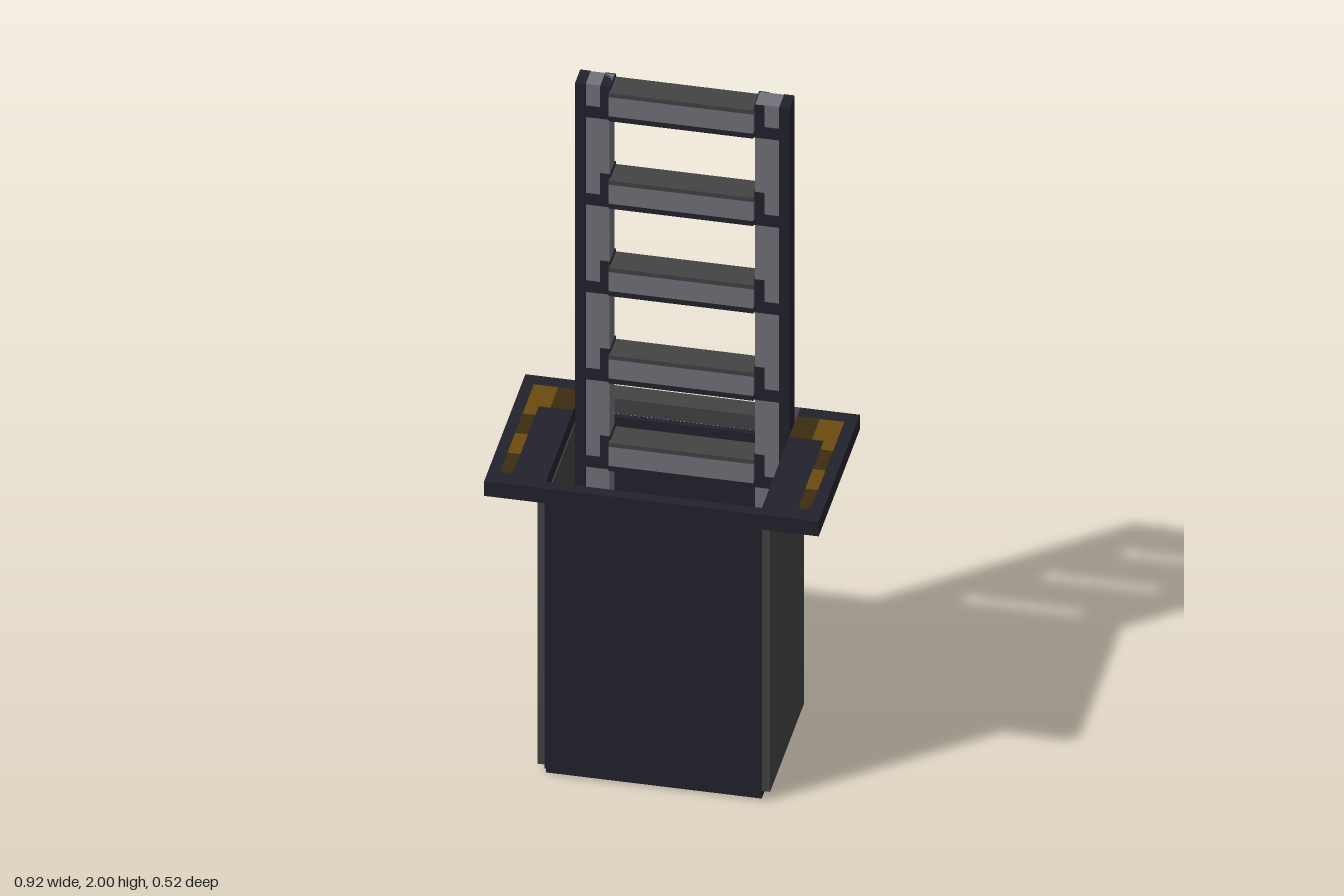
import * as THREE from 'three';

function flat(name, color) {
  const m = new THREE.MeshStandardMaterial({ color });
  m.name = name;
  return m;
}

export function createModel() {
  const navy = flat('dark navy', 0x22222d);
  const grey = flat('dark grey', 0x434345);
  const steel = flat('light steel', 0x72727a);
  const gold = flat('gold', 0x6b4a0d);
  const brown = flat('brown', 0x3b2d11);

  const model = new THREE.Group();
  model.name = 'ladderShaft';

  // Box given by its lower and upper limits on each axis
  function box(parent, name, mat, x0, x1, y0, y1, z0, z1) {
    const mesh = new THREE.Mesh(new THREE.BoxGeometry(x1 - x0, y1 - y0, z1 - z0), mat);
    mesh.position.set((x0 + x1) / 2, (y0 + y1) / 2, (z0 + z1) / 2);
    mesh.name = name;
    parent.add(mesh);
    return mesh;
  }
  // Same box on both sides of x = 0
  function pair(parent, name, mat, x0, x1, ...rest) {
    box(parent, name + 'Left', mat, x0, x1, ...rest);
    box(parent, name + 'Right', mat, -x1, -x0, ...rest);
  }

  // Shaft: floor and four walls with notched corners
  const shaft = new THREE.Group();
  shaft.name = 'shaft';
  model.add(shaft);
  box(shaft, 'floor', navy, -0.297, 0.297, 0, 0.025, -0.197, 0.232);
  box(shaft, 'frontWall', navy, -0.297, 0.297, 0.025, 0.885, 0.232, 0.25);
  box(shaft, 'backWall', navy, -0.297, 0.297, 0.025, 0.885, -0.213, -0.197);
  pair(shaft, 'sideWall', grey, 0.297, 0.32, 0.025, 0.885, -0.197, 0.232);

  // Collar around the opening
  const collar = new THREE.Group();
  collar.name = 'collar';
  model.add(collar);
  pair(collar, 'collarSide', navy, 0.297, 0.46, 0.895, 0.943, -0.262, 0.262);
  box(collar, 'collarFront', navy, -0.297, 0.297, 0.895, 0.943, 0.23, 0.262);
  box(collar, 'collarBack', grey, -0.297, 0.297, 0.895, 0.943, -0.262, -0.199);

  // Worn hazard stripes on the top and underside: x0, x1, z0, z1
  const stripes = [
    [gold, 0.36, 0.427, -0.217, -0.118],
    [brown, 0.297, 0.36, -0.217, -0.118],
    [gold, 0.392, 0.427, -0.118, -0.074],
    [brown, 0.392, 0.427, -0.074, 0.021],
    [gold, 0.392, 0.427, 0.021, 0.118],
    [brown, 0.392, 0.427, 0.118, 0.205],
    [brown, 0.398, 0.421, 0.205, 0.212],
  ];
  for (const [mat, x0, x1, z0, z1] of stripes) {
    pair(collar, 'topStripe', mat, x0, x1, 0.943, 0.945, z0, z1);
    pair(collar, 'undersideStripe', mat, x0, x1, 0.893, 0.895, z0, z1);
  }

  // Ladder rails: light inner core with a dark outer flange
  const ladder = new THREE.Group();
  ladder.name = 'ladder';
  model.add(ladder);
  pair(ladder, 'railCore', steel, 0.2, 0.266, 0.025, 2, -0.195, -0.133);
  pair(ladder, 'railFlange', navy, 0.266, 0.295, 0.025, 2, -0.197, -0.131);

  // Rungs with grey tread, dark underside and end brackets
  for (let i = 0; i < 7; i++) {
    const y = 1.9 - i * 0.284;
    const rung = new THREE.Group();
    rung.name = 'rung';
    ladder.add(rung);
    box(rung, 'rungUnderside', navy, -0.199, 0.199, y, y + 0.016, -0.197, -0.115);
    box(rung, 'rungBody', steel, -0.199, 0.199, y + 0.016, y + 0.078, -0.197, -0.115);
    box(rung, 'rungTread', grey, -0.199, 0.199, y + 0.078, y + 0.091, -0.197, -0.115);
    pair(rung, 'bracketUpright', navy, 0.197, 0.226, y + 0.03, y + 0.1, -0.198, -0.13);
    pair(rung, 'bracketFoot', navy, 0.197, 0.268, y - 0.006, y + 0.03, -0.198, -0.13);
  }

  return model;
}
